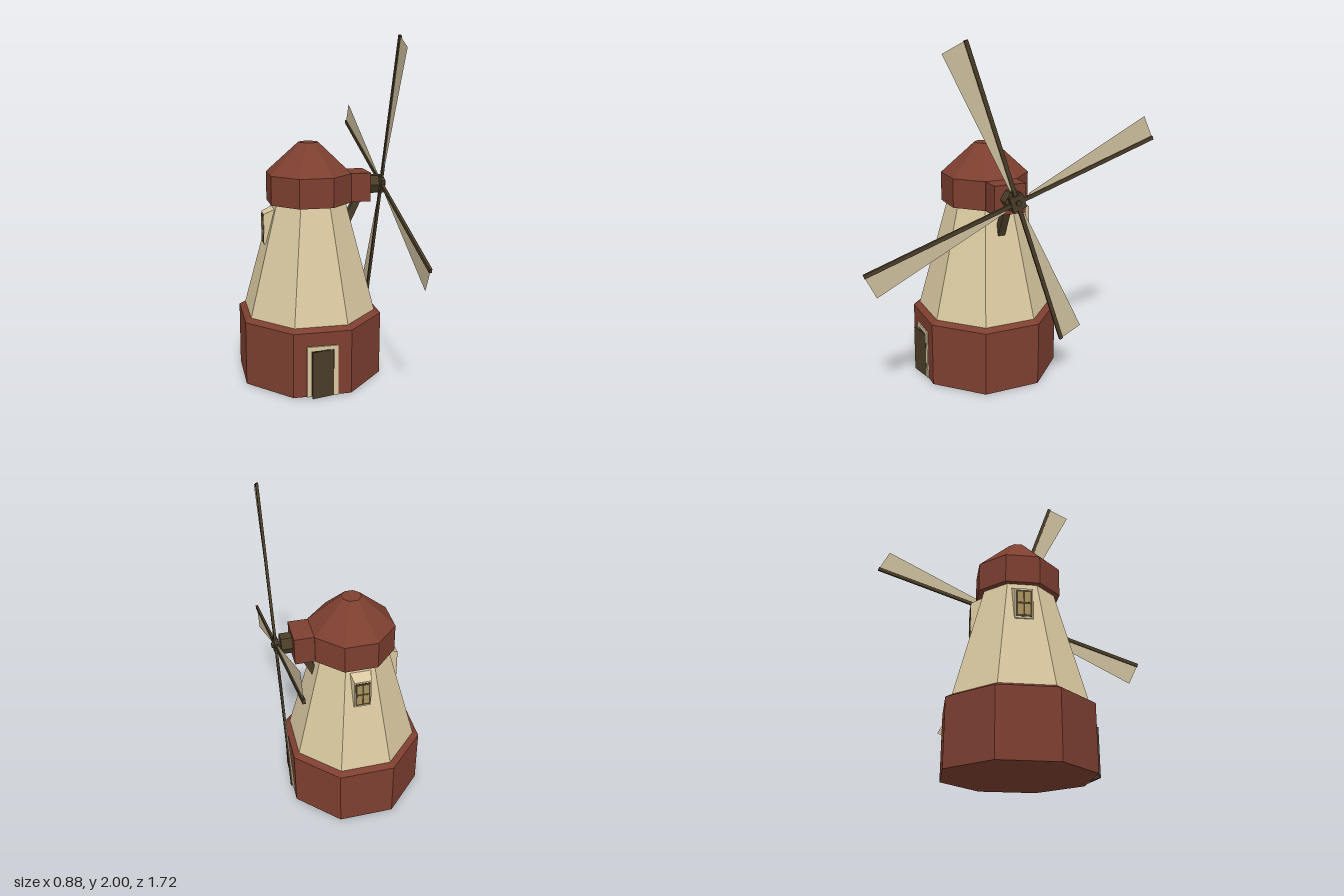
import * as THREE from 'three';
import { ConvexGeometry } from 'three/addons/geometries/ConvexGeometry.js';

const CX = -0.035; // tower axis
const mat = (color, side = THREE.FrontSide) =>
  new THREE.MeshStandardMaterial({ color, flatShading: true, side });
const red = mat(0x7d3f30);
const plaster = mat(0xd9c8a0);
const wood = mat(0x4a3d28);
const glass = mat(0xa8935f);
const canvas = mat(0xcbbd9c, THREE.DoubleSide);

function add(parent, name, geometry, material, x = 0, y = 0, z = 0) {
  const mesh = new THREE.Mesh(geometry, material);
  mesh.name = name;
  mesh.position.set(x, y, z);
  parent.add(mesh);
  return mesh;
}

function group(parent, name, x = 0, y = 0, z = 0) {
  const g = new THREE.Group();
  g.name = name;
  g.position.set(x, y, z);
  parent.add(g);
  return g;
}

const box = (w, h, d) => new THREE.BoxGeometry(w, h, d);

// Eight-sided tapered ring, sized by the distance to its flats
function octagon(bottom, top, y0, y1) {
  const k = 1 / Math.cos(Math.PI / 8);
  return new THREE.CylinderGeometry(top * k, bottom * k, y1 - y0, 8, 1, false, Math.PI / 8)
    .translate(0, (y0 + y1) / 2, 0);
}

// Dormer window facing local +z
function addWindow(parent, name, angle) {
  const w = group(parent, name, CX, 0, 0);
  w.rotation.y = angle;
  const points = [];
  for (const s of [-1, 1]) {
    points.push(
      new THREE.Vector3(s * 0.05, 0.81, 0.275),
      new THREE.Vector3(s * 0.05, 0.99, 0.275),
      new THREE.Vector3(s * 0.062, 1.02, 0.21),
      new THREE.Vector3(s * 0.058, 0.81, 0.24));
  }
  add(w, 'dormer', new ConvexGeometry(points), plaster);
  add(w, 'windowFrame', box(0.088, 0.16, 0.004), wood, 0, 0.9, 0.2755);
  for (const x of [-0.02, 0.02])
    for (const y of [0.863, 0.937])
      add(w, 'pane', box(0.03, 0.062, 0.004), glass, x, y, 0.2765);
}

export function createModel() {
  const model = new THREE.Group();
  model.name = 'windmill';

  // Body and cap
  add(model, 'base', octagon(0.405, 0.405, 0, 0.38), red, CX);
  add(model, 'baseLedge', octagon(0.405, 0.37, 0.38, 0.4), red, CX);
  add(model, 'tower', octagon(0.37, 0.203, 0.4, 1.06), plaster, CX);
  add(model, 'capWall', octagon(0.237, 0.237, 1.05, 1.22), red, CX);
  add(model, 'capRoof', octagon(0.237, 0.055, 1.22, 1.4), red, CX);

  // Windows on the back and the right side
  addWindow(model, 'backWindow', Math.PI);
  addWindow(model, 'sideWindow', -Math.PI / 2);

  // Door frame, dark opening and a door left ajar
  const entrance = group(model, 'entrance', CX, 0, 0.405);
  for (const s of [-1, 1])
    add(entrance, 'doorPost', box(0.025, 0.3, 0.014), plaster, s * 0.0775, 0.15, 0);
  add(entrance, 'doorLintel', box(0.13, 0.025, 0.014), plaster, 0, 0.2875, 0);
  add(entrance, 'doorway', box(0.13, 0.275, 0.004), wood, 0, 0.1375, 0);
  const hinge = group(entrance, 'doorHinge', 0.063, 0, 0.003);
  hinge.rotation.y = 0.22;
  add(hinge, 'door', box(0.13, 0.278, 0.009), wood, -0.065, 0.139, 0);

  // Rotor housing and its brace
  add(model, 'rotorHousing', box(0.13, 0.17, 0.19), red, 0.255, 1.135, 0);
  const braceShape = new THREE.Shape([
    [0.205, 0.885], [0.285, 1.055], [0.24, 1.055], [0.18, 0.935],
  ].map(([x, y]) => new THREE.Vector2(x, y)));
  add(model, 'brace', new THREE.ExtrudeGeometry(braceShape, { depth: 0.044, bevelEnabled: false }),
    wood, 0, 0, -0.022);
  add(model, 'bearing', new THREE.CylinderGeometry(0.06, 0.06, 0.07, 6).rotateZ(-Math.PI / 2),
    wood, 0.35, 1.14, 0);

  // Rotor, drawn facing +z and turned to face +x
  const rotor = group(model, 'rotor', 0.411, 1.14, 0);
  rotor.rotation.set(0, Math.PI / 2, 0);
  add(rotor, 'axle', new THREE.CylinderGeometry(0.017, 0.017, 0.07, 6).rotateX(Math.PI / 2),
    wood, 0, 0, -0.011);
  const sailShape = new THREE.Shape([
    [0, 0.07], [0, 0.905], [-0.14, 0.887], [-0.022, 0.08],
  ].map(([x, y]) => new THREE.Vector2(x, y)));
  const sail = new THREE.ShapeGeometry(sailShape);
  const blades = group(rotor, 'blades');
  blades.rotation.z = THREE.MathUtils.degToRad(19);
  add(blades, 'hub', box(0.082, 0.082, 0.024), wood);
  for (let i = 0; i < 4; i++) {
    const blade = group(blades, 'blade');
    blade.rotation.z = i * Math.PI / 2;
    add(blade, 'arm', box(0.022, 0.906, 0.015), wood, 0, 0.453, 0);
    add(blade, 'sail', sail, canvas);
  }

  return model;
}
